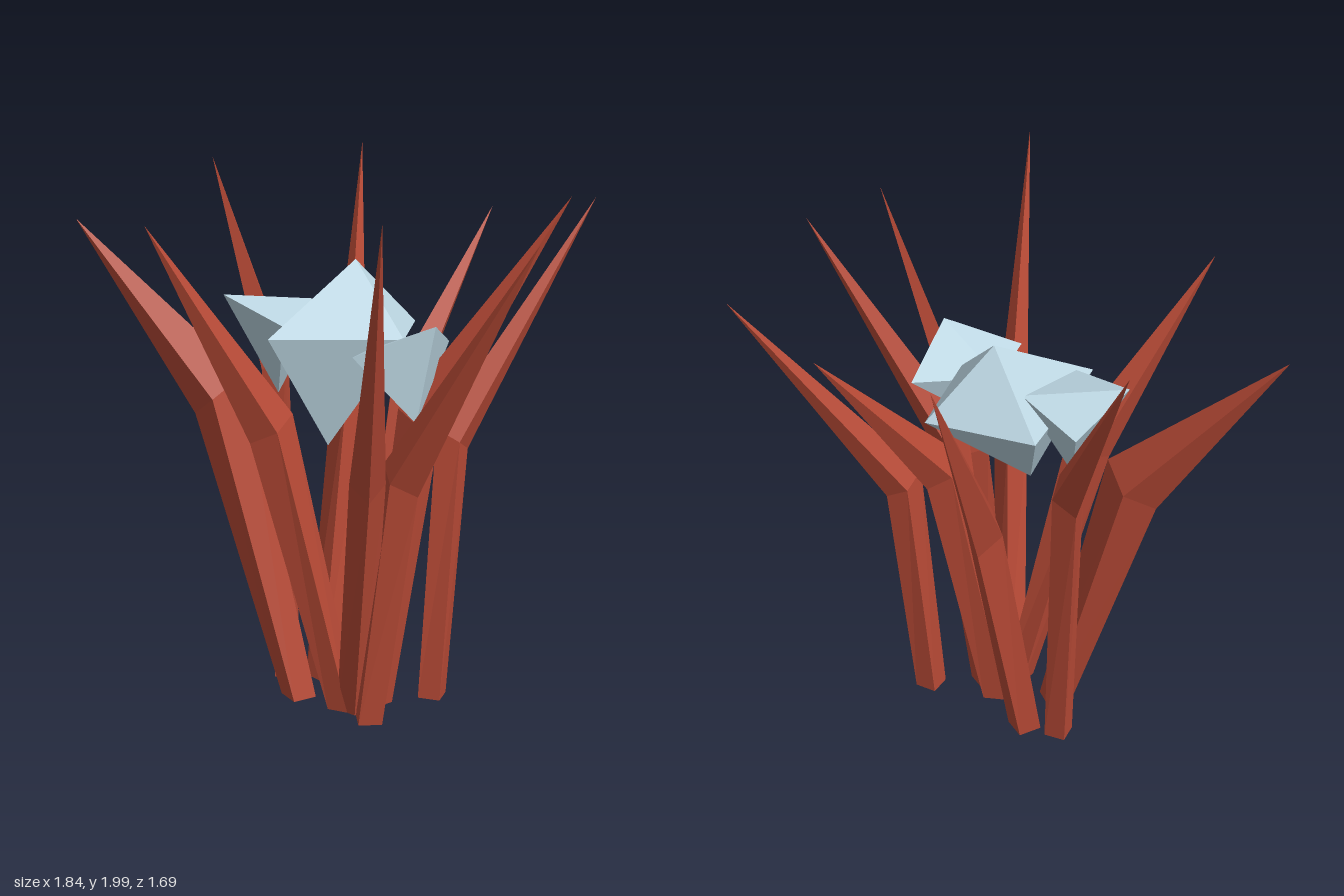
import * as THREE from 'three';
import { ConvexGeometry } from 'three/addons/geometries/ConvexGeometry.js';

const SIDES = 4;

// Diamond of corners around a centre, square to the given direction
function ring(center, direction, outward, depth, width) {
  const u = direction.clone().cross(outward).normalize();
  const v = u.clone().cross(direction).normalize();
  return Array.from({ length: SIDES }, (_, i) => {
    const a = (i / SIDES) * Math.PI * 2;
    return center.clone().addScaledVector(v, Math.cos(a) * depth).addScaledVector(u, Math.sin(a) * width);
  });
}

// Bent spike: open foot, deeper elbow, sharp tip
function spikeGeometry(foot, elbow, tip, footRadius, elbowRadius) {
  const f = new THREE.Vector3(...foot);
  const e = new THREE.Vector3(...elbow);
  const t = new THREE.Vector3(...tip);
  const upper = t.clone().sub(e).normalize();
  const outward = new THREE.Vector3(upper.x, 0, upper.z).normalize();
  const low = ring(f, new THREE.Vector3(0, 1, 0), outward, footRadius, footRadius);
  const mid = ring(e, upper, outward, elbowRadius * 1.25, elbowRadius * 0.85);
  const points = [];
  for (let i = 0; i < SIDES; i++) {
    const j = (i + 1) % SIDES;
    points.push(low[i], low[j], mid[j], low[i], mid[j], mid[i]); // stem
    points.push(mid[i], mid[j], t); // point
  }
  const geometry = new THREE.BufferGeometry().setFromPoints(points);
  geometry.computeVertexNormals();
  return geometry;
}

export function createModel() {
  const group = new THREE.Group();
  const red = new THREE.MeshStandardMaterial({ color: 0xb84a36, side: THREE.DoubleSide });
  red.name = 'rustRed';
  const blue = new THREE.MeshStandardMaterial({ color: 0xbcd6e2 });
  blue.name = 'paleBlue';

  const add = (name, geometry, material) => {
    const mesh = new THREE.Mesh(geometry, material);
    mesh.name = name;
    group.add(mesh);
  };

  // Spikes: foot, elbow, tip, foot radius, elbow radius
  const spikes = [
    [[-0.075, 0, 0.1], [-0.395, 1.15, 0.11], [-0.92, 1.78, 0.23], 0.067, 0.1],
    [[-0.207, 0, -0.06], [-0.3, 1.2, -0.15], [-0.7, 1.94, -0.39], 0.058, 0.07],
    [[0.12, 0, 0.12], [-0.09, 1.1, 0.27], [-0.39, 1.86, 0.6], 0.058, 0.075],
    [[-0.08, 0, -0.11], [-0.09, 1.07, -0.355], [-0.28, 1.96, -0.85], 0.065, 0.078],
    [[0.13, 0, -0.02], [0.2, 1.15, -0.23], [0.34, 1.78, -0.71], 0.062, 0.07],
    [[0.165, 0, 0.115], [0.32, 0.97, 0.33], [0.61, 1.99, 0.84], 0.062, 0.075],
    [[0.21, 0, 0.02], [0.37, 1.12, 0.015], [0.85, 1.94, -0.17], 0.062, 0.07],
    [[0.375, 0, -0.13], [0.405, 1, -0.21], [0.76, 1.85, -0.68], 0.06, 0.065],
    [[0.26, 0, 0.18], [0.38, 0.95, 0.185], [0.92, 1.86, 0.31], 0.062, 0.072],
  ];
  spikes.forEach((s, i) => add(`spike${i + 1}`, spikeGeometry(...s), red));

  // Crystals nested between the spikes
  const crystals = {
    centreCrystal: [[0.06, 1.66, -0.1], [0.2, 1.4, -0.32], [0.32, 1.42, 0.04],
      [-0.09, 1.43, 0.29], [-0.18, 1.38, -0.18], [0.05, 1.01, 0.1]],
    rightCrystal: [[-0.365, 1.53, 0.12], [-0.34, 1.45, -0.165], [-0.06, 1.5, -0.1],
      [-0.07, 1.46, 0.21], [-0.19, 1.16, 0.03]],
    leftCrystal: [[0.49, 1.51, 0.15], [0.42, 1.39, -0.13], [0.25, 1.41, 0.31],
      [0.2, 1.38, 0.1], [0.43, 1.16, 0.17], [0.34, 1.27, 0]],
  };
  for (const [name, corners] of Object.entries(crystals)) {
    add(name, new ConvexGeometry(corners.map((c) => new THREE.Vector3(...c))), blue);
  }
  return group;
}
